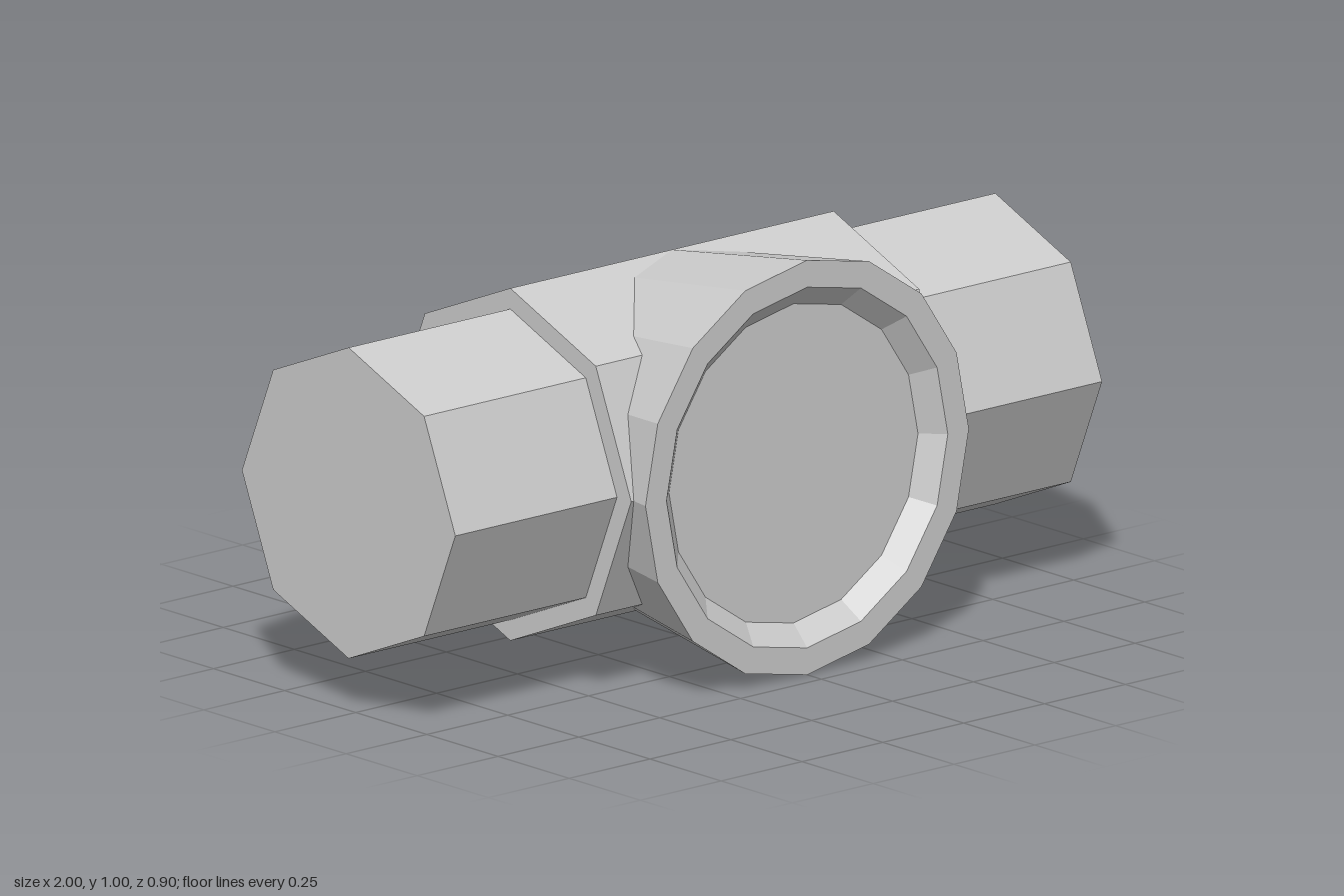
import * as THREE from 'three';

const CENTRE_Y = 0.5;
const CENTRE_Z = -0.025;

export function createModel() {
  const model = new THREE.Group();
  const material = new THREE.MeshStandardMaterial({ color: 0xcccccc, flatShading: true });

  const add = (name, geometry) => {
    const mesh = new THREE.Mesh(geometry, material);
    mesh.name = name;
    mesh.position.set(0, CENTRE_Y, CENTRE_Z);
    model.add(mesh);
  };

  // Octagonal bar lying along x, with a corner pointing straight up
  const octagonalBar = (radius, length) =>
    new THREE.CylinderGeometry(radius, radius, length, 8).rotateZ(Math.PI / 2);

  add('innerBar', octagonalBar(0.375, 2));
  add('sleeve', octagonalBar(0.425, 1));

  // Flared 16-sided face with a raised rim and a shallow bevelled recess
  const profile = [
    [0, 0],
    [0.425, 0],
    [0.5, 0.475],
    [0.435, 0.475],
    [0.385, 0.427],
    [0, 0.427],
  ].map(([r, h]) => new THREE.Vector2(r, h));
  add('flaredFace', new THREE.LatheGeometry(profile, 16).rotateX(Math.PI / 2));

  return model;
}
